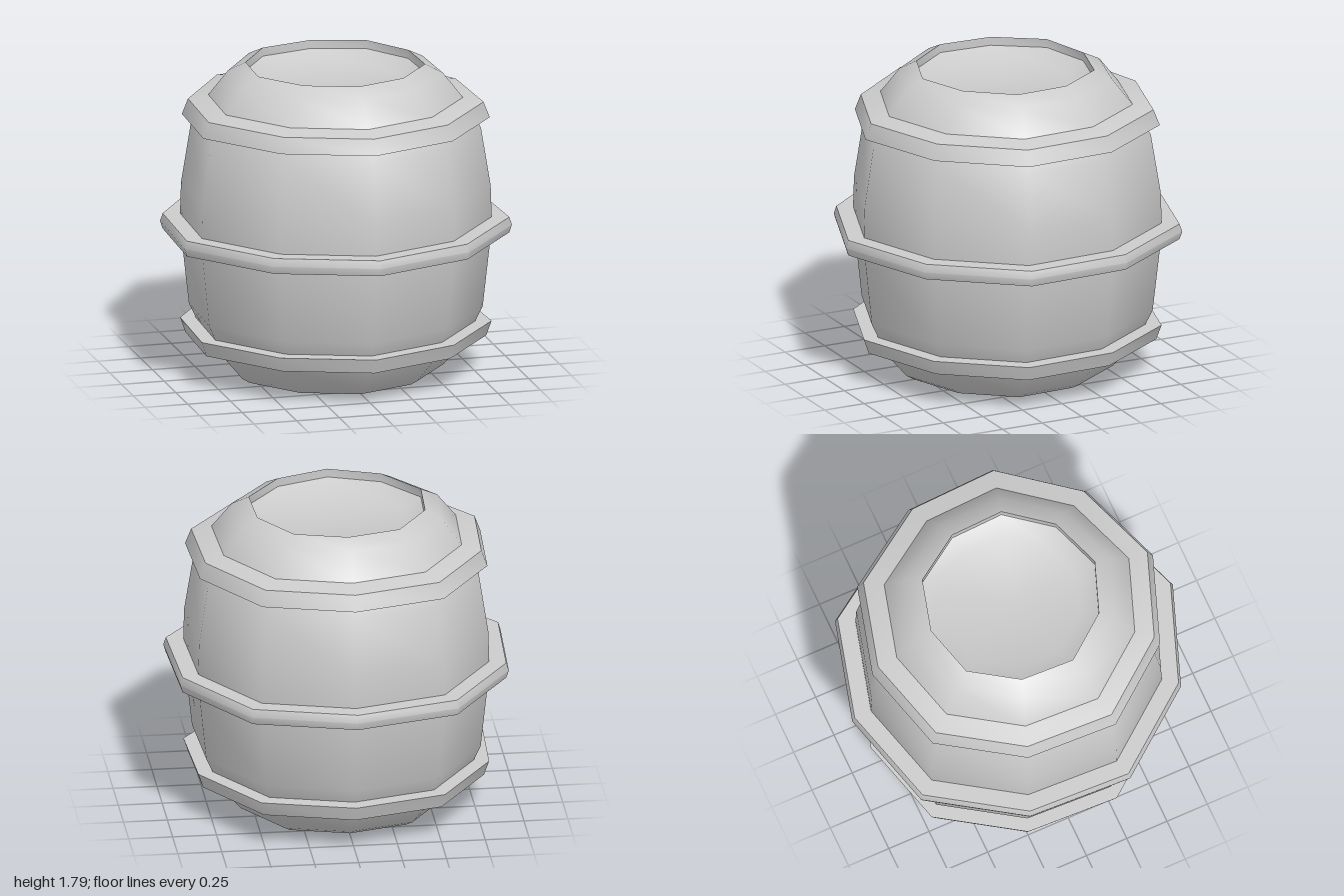
import * as THREE from 'three';
import { toCreasedNormals } from 'three/addons/utils/BufferGeometryUtils.js';

// Slightly uneven ten-sided outline: half of it, front to back, as [x, z]
const HALF = [[0, 0.99], [0.575, 0.78], [0.96, 0.29], [0.935, -0.32], [0.59, -0.84], [0, -1]];
const SIDES = 10;

// Turn a [radius, height] profile around the uneven outline
function turned(name, profile) {
  const geo = new THREE.LatheGeometry(profile.map(([r, y]) => new THREE.Vector2(r, y)), SIDES);
  const pos = geo.attributes.position;
  for (let i = 0; i <= SIDES; i++) {
    const [x, z] = HALF[i <= 5 ? i : SIDES - i];
    const side = i <= 5 ? 1 : -1;
    profile.forEach(([r, y], j) => pos.setXYZ(i * profile.length + j, side * x * r, y, z * r));
  }
  geo.deleteAttribute('uv');
  const mesh = new THREE.Mesh(
    toCreasedNormals(geo, 0.8),
    new THREE.MeshStandardMaterial({ color: 0xcccccc, side: THREE.DoubleSide })
  );
  mesh.name = name;
  return mesh;
}

export function createModel() {
  const group = new THREE.Group();
  group.name = 'barrel';

  // Bulging body with a recessed base and a dished lid
  group.add(turned('body', [
    [0, 0.11], [0.42, 0.11], [0.52, 0.09], [0.565, 0],
    [0.615, 0.03], [0.745, 0.18], [0.835, 0.37], [0.88, 0.78],
    [0.885, 0.92], [0.88, 1.08], [0.825, 1.42], [0.725, 1.595],
    [0.61, 1.74], [0.51, 1.79], [0.51, 1.74], [0.4, 1.69], [0, 1.69],
  ]));

  // Hoops
  group.add(turned('lowerHoop', [[0.735, 0.18], [0.855, 0.2], [0.885, 0.285], [0.76, 0.285]]));
  group.add(turned('middleHoop', [[0.86, 0.805], [0.985, 0.805], [1, 0.85], [0.985, 0.895], [0.86, 0.895]]));
  group.add(turned('upperHoop', [[0.75, 1.48], [0.875, 1.48], [0.84, 1.57], [0.72, 1.597]]));

  return group;
}
